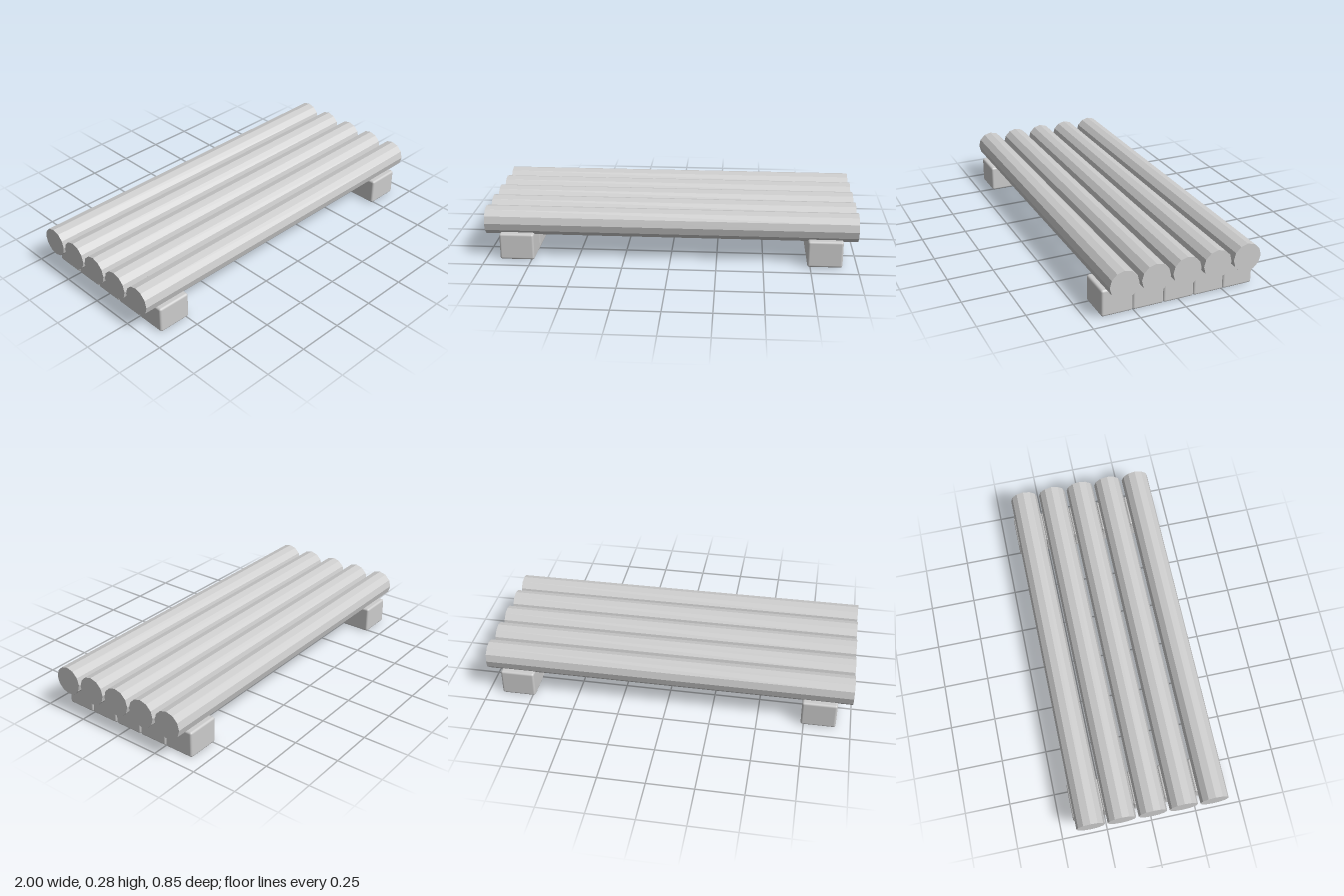
import * as THREE from 'three';
import { RoundedBoxGeometry } from 'three/addons/geometries/RoundedBoxGeometry.js';

export function createModel() {
  const model = new THREE.Group();
  model.name = 'logPlatform';
  const grey = new THREE.MeshStandardMaterial({ color: 0xcccccc });
  grey.name = 'plain grey';

  // Twelve-sided logs lying along x; non-indexed with face normals for flat facets
  const log = new THREE.CylinderGeometry(0.078, 0.078, 2, 12).rotateZ(Math.PI / 2).toNonIndexed();
  log.computeVertexNormals();

  // Softly bevelled support block
  const block = new RoundedBoxGeometry(0.187, 0.147, 0.17, 2, 0.012);

  const add = (geometry, name, x, y, z) => {
    const mesh = new THREE.Mesh(geometry, grey);
    mesh.name = name;
    mesh.position.set(x, y, z);
    model.add(mesh);
  };

  for (let i = -2; i <= 2; i++) {
    const z = i * 0.169;
    add(log, 'log', 0, 0.201, z);
    // One block under each end of the log
    for (const side of [-1, 1]) add(block, side > 0 ? 'leftBlock' : 'rightBlock', side * 0.828, 0.0735, z);
  }
  return model;
}
